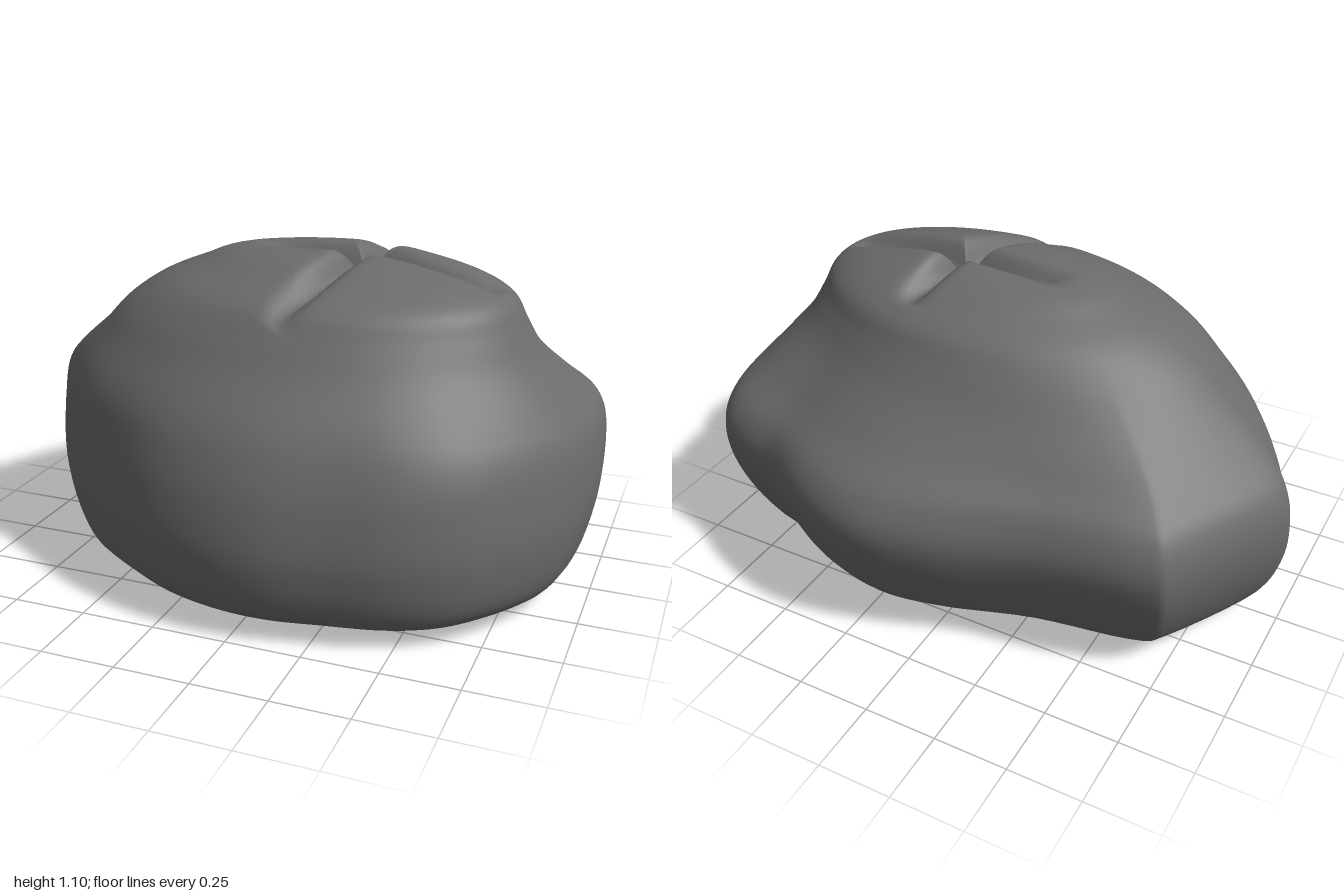
import * as THREE from 'three';

const AROUND = 144, STEPS = 6;

// widest outline seen from above, as [x, z]
const OUTLINE = [
  [-1, -0.1], [-0.81, -0.46], [-0.71, -0.54], [-0.35, -0.61], [-0.03, -0.72], [0.2, -0.76],
  [0.42, -0.71], [0.62, -0.6], [0.78, -0.55], [0.89, -0.49], [0.96, -0.37], [0.99, -0.15],
  [0.99, 0], [0.96, 0.18], [0.91, 0.3], [0.82, 0.44], [0.69, 0.58], [0.52, 0.67], [0.3, 0.72],
  [0.1, 0.755], [-0.09, 0.745], [-0.28, 0.69], [-0.46, 0.59], [-0.65, 0.46], [-0.77, 0.33],
  [-0.88, 0.18], [-0.97, 0.02],
];

// cross-sections: y, xMin, xMax, zMin, zMax
const LEVELS = [
  [0, 0, 0, 0, 0],
  [0.003, -0.57, 0.62, -0.35, 0.38],
  [0.02, -0.77, 0.8, -0.48, 0.57],
  [0.09, -0.91, 0.93, -0.6, 0.715],
  [0.27, -0.985, 0.99, -0.71, 0.765],
  [0.45, -1, 1, -0.76, 0.747],
  [0.58, -0.97, 0.975, -0.715, 0.705],
  [0.68, -0.88, 0.9, -0.6, 0.65],
  [0.8, -0.74, 0.8, -0.475, 0.555],
  [0.9, -0.63, 0.745, -0.395, 0.485],
  [0.98, -0.51, 0.7, -0.335, 0.42],
  [1.035, -0.38, 0.6, -0.25, 0.31],
  [1.08, -0.25, 0.44, -0.16, 0.2],
  [1.103, 0, 0.32, -0.08, 0.1],
  [1.11, 0.2, 0.2, 0.02, 0.02],
];

// four creases running out from the gathered top
const CENTRE = [0.2, 0.02];
const CREASES = [[-0.17, 0], [0.27, -0.26], [0.66, 0.05], [0.05, 0.46]];

function creaseDepth(x, z) {
  let depth = 0;
  for (const [ex, ez] of CREASES) {
    const dx = ex - CENTRE[0], dz = ez - CENTRE[1];
    const px = x - CENTRE[0], pz = z - CENTRE[1];
    const s = THREE.MathUtils.clamp((px * dx + pz * dz) / (dx * dx + dz * dz), 0, 1);
    const d = Math.hypot(px - s * dx, pz - s * dz);
    depth = Math.max(depth, 0.1 * Math.sqrt(1 - s) * Math.exp(-((d / 0.04) ** 2)));
  }
  return depth;
}

function pleatedGeometry() {
  const spline = (pts, closed) => new THREE.CatmullRomCurve3(pts, closed, 'catmullrom', 0.5);
  const outline = spline(OUTLINE.map(([x, z]) => new THREE.Vector3(x, 0, z / 0.76)), true);
  const xCurve = spline(LEVELS.map((l) => new THREE.Vector3(l[1], l[0], l[2])), false);
  const zCurve = spline(LEVELS.map((l) => new THREE.Vector3(l[3], l[0], l[4])), false);
  const ring = Array.from({ length: AROUND }, (_, i) => outline.getPoint(i / AROUND));

  const rings = (LEVELS.length - 1) * STEPS;
  const positions = [], indices = [];
  for (let j = 0; j <= rings; j++) {
    const xr = xCurve.getPoint(j / rings), zr = zCurve.getPoint(j / rings);
    // the sections become rounder towards the top
    const round = THREE.MathUtils.smoothstep(xr.y, 0.5, 0.95);
    for (const p of ring) {
      const a = Math.atan2(p.z, p.x);
      const u = THREE.MathUtils.lerp(p.x, Math.cos(a), round);
      const v = THREE.MathUtils.lerp(p.z, Math.sin(a), round);
      const x = (xr.x + xr.z) / 2 + u * (xr.z - xr.x) / 2;
      const z = (zr.x + zr.z) / 2 + v * (zr.z - zr.x) / 2;
      const y = Math.max(0, xr.y) - (xr.y > 0.75 ? creaseDepth(x, z) : 0);
      positions.push(x, y, z);
    }
  }
  for (let j = 0; j < rings; j++) {
    for (let i = 0; i < AROUND; i++) {
      const a = j * AROUND + i, b = j * AROUND + (i + 1) % AROUND;
      const c = a + AROUND, d = b + AROUND;
      if (j < rings - 1) indices.push(a, c, d);
      else indices.push(a, c, b);
      if (j > 0 && j < rings - 1) indices.push(a, d, b);
    }
  }
  const geometry = new THREE.BufferGeometry();
  geometry.setAttribute('position', new THREE.Float32BufferAttribute(positions, 3));
  geometry.setIndex(indices);
  geometry.computeVertexNormals();
  return geometry;
}

export function createModel() {
  const group = new THREE.Group();
  group.name = 'pleatedBun';
  const grey = new THREE.MeshStandardMaterial({ color: 0x6c6c6c });
  grey.name = 'dark grey';
  const body = new THREE.Mesh(pleatedGeometry(), grey);
  body.name = 'pleatedBody';
  group.add(body);
  return group;
}
